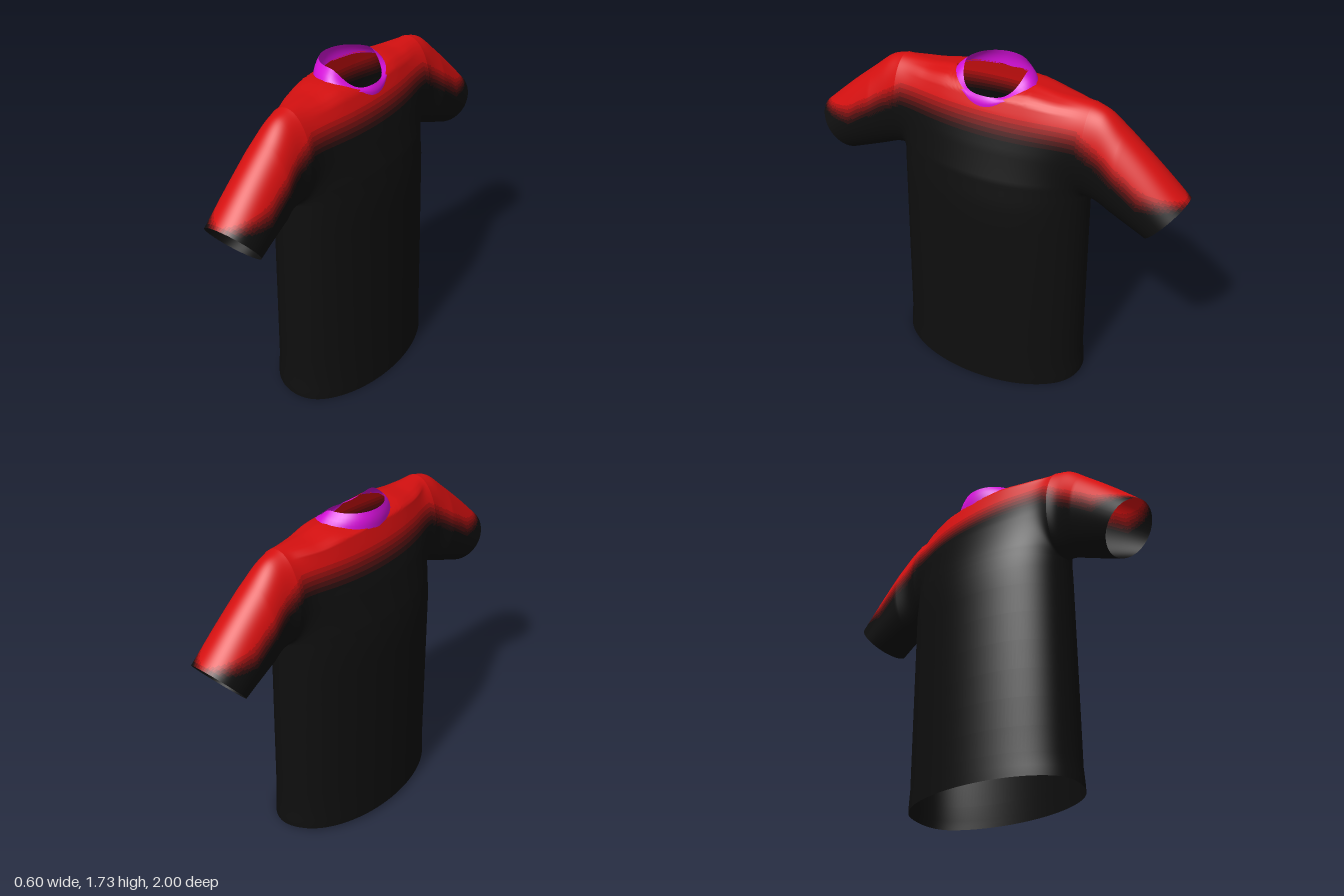
import * as THREE from 'three';
import { mergeVertices } from 'three/addons/utils/BufferGeometryUtils.js';

const { lerp, clamp, smoothstep } = THREE.MathUtils;

// Piecewise-linear lookup in a list of [position, value] pairs
function lookup(table, p) {
  for (let k = 1; k < table.length; k++) {
    const [a, va] = table[k - 1], [b, vb] = table[k];
    if (p <= b) return lerp(va, vb, clamp((p - a) / (b - a), 0, 1));
  }
  return table[table.length - 1][1];
}

const ARMPIT = 1.17, SHOULDER = 1.67, BAND_LOW = 1.455, BAND_HIGH = 1.565;
const NECK_Z = 0.2, NECK_FRONT = 0.145, NECK_BACK = 0.16;

// Half depths of the chest (+x) and the back (-x) by height, and half width
const chest = [[0, 0.30], [0.6, 0.285], [1.1, 0.27], [1.25, 0.248], [1.4, 0.205], [1.5, 0.172], [1.57, 0.148], [1.62, 0.128], [1.65, 0.09], [1.67, 0]];
const back = [[0, 0.30], [1.1, 0.298], [1.22, 0.28], [1.4, 0.235], [1.5, 0.195], [1.58, 0.175], [1.64, 0.158], [1.66, 0.1], [1.67, 0]];
const width = [[0, 0.526], [0.04, 0.524], [0.12, 0.515], [1.1, 0.505], [2, 0.505]];
const ridge = z => SHOULDER + 0.015 * (1 - smoothstep(Math.abs(z), 0.2, 0.36));

// Depth of the cloth from the middle plane; it meets the sleeve at the armhole
function depth(z, y, side) {
  const yy = y - (ridge(z) - SHOULDER) * smoothstep(y, 1.5, 1.67);
  const w = lookup(width, y);
  const e = lookup(side > 0 ? chest : back, yy) * Math.sqrt(Math.max(0, 1 - (z / w) ** 2));
  const s = 0.135 * Math.sqrt(Math.max(0, 1 - ((yy - 1.42) / 0.25) ** 2));
  return (e ** 6 + s ** 6) ** (1 / 6);
}

// Top of the cloth: the shoulder ridge, or the edge of the neck hole
function topY(z, side) {
  if (Math.abs(z) >= NECK_Z) return ridge(z);
  const hole = (side > 0 ? NECK_FRONT : NECK_BACK) * Math.sqrt(1 - (z / NECK_Z) ** 2);
  let lo = 1.5, hi = ridge(z);
  for (let k = 0; k < 30; k++) {
    const mid = (lo + hi) / 2;
    if (depth(z, mid, side) > hole) lo = mid; else hi = mid;
  }
  return lo;
}

// Rows shared by torso and sleeves; the last ones reach up to a given top
const lowerRows = [0, 0.02, 0.05, 0.12, 0.25, 0.4, 0.55, 0.7, 0.85, 1.0, 1.1];
const upperRows = [];
for (let k = 0; k <= 24; k++) upperRows.push(() => ARMPIT + (BAND_LOW - ARMPIT) * (1 - Math.cos(k * Math.PI / 48)));
for (let k = 1; k <= 10; k++) upperRows.push(() => lerp(BAND_LOW, BAND_HIGH, k / 10));
for (let k = 1; k <= 14; k++) upperRows.push(top => lerp(BAND_HIGH, top, Math.sin(k * Math.PI / 28)));
const rows = [...lowerRows.map(y => () => y), ...upperRows];

// Colour fade: index 0 is black, the last is red
const fadeLow = [[0, BAND_LOW], [0.47, BAND_LOW], [0.8, 1.25], [1, 1.275]];
const fadeHigh = [[0, BAND_HIGH], [0.47, BAND_HIGH], [0.8, 1.35], [1, 1.295]];
function shade(y, z) {
  const a = lookup(fadeLow, Math.abs(z)), b = lookup(fadeHigh, Math.abs(z));
  return clamp(Math.floor((y - a) / (b - a) * 5) + 1, 0, 6);
}

function torsoPoint(i, j, n, side) {
  const a = (i / n - 0.5) * Math.PI;
  const y = rows[j](topY(0.505 * Math.sin(a), side));
  const z = lookup(width, y) * Math.sin(a);
  const x = side * depth(z, y, side);
  const hem = 0.025 * (1 - smoothstep(x, -0.1, 0.15)) * clamp(1 - y / 0.6, 0, 1);
  return new THREE.Vector3(x, y + hem, z);
}

const path = pts => new THREE.CatmullRomCurve3(pts.map(([z, y]) => new THREE.Vector3(0, y, z)));
const sleeveTop = path([[0.505, SHOULDER], [0.58, 1.645], [0.68, 1.565], [0.84, 1.43], [1.0, 1.285]]);
const sleeveUnder = path([[0.505, ARMPIT], [0.56, 1.158], [0.64, 1.125], [0.73, 1.088], [0.815, 1.055]]);

function sleevePoint(i, j, n, side, mirror) {
  const t = i / n, h = (upperRows[j](SHOULDER) - ARMPIT) / (SHOULDER - ARMPIT);
  const p = sleeveUnder.getPoint(t).lerp(sleeveTop.getPoint(t), h);
  const thick = 0.135 - 0.012 * Math.sin(Math.PI * clamp(t / 0.5, 0, 1)) + 0.005 * t;
  p.x = side * thick * Math.sqrt(Math.max(0, 1 - (2 * h - 1) ** 2));
  p.z *= mirror;
  return p;
}

// Sorts the triangles of a grid of points into one list per shade
function addGrid(bins, n, m, point, flip) {
  const g = [];
  for (let i = 0; i <= n; i++) {
    g.push([]);
    for (let j = 0; j <= m; j++) g[i].push(point(i, j));
  }
  const tri = (a, b, c) => {
    const mid = a.clone().add(b).add(c).divideScalar(3);
    const area = b.clone().sub(a).cross(c.clone().sub(a)).length();
    if (area < 1e-8) return;
    const list = bins[shade(mid.y, mid.z)];
    for (const p of flip ? [a, c, b] : [a, b, c]) list.push(p.x, p.y, p.z);
  };
  for (let i = 0; i < n; i++) for (let j = 0; j < m; j++) {
    tri(g[i][j], g[i][j + 1], g[i + 1][j + 1]);
    tri(g[i][j], g[i + 1][j + 1], g[i + 1][j]);
  }
}

function shirtGeometry() {
  const bins = Array.from({ length: 7 }, () => []);
  for (const side of [1, -1]) {
    addGrid(bins, 72, rows.length - 1, (i, j) => torsoPoint(i, j, 72, side), side < 0);
    for (const mirror of [1, -1])
      addGrid(bins, 44, upperRows.length - 1, (i, j) => sleevePoint(i, j, 44, side, mirror), side * mirror < 0);
  }
  const geo = new THREE.BufferGeometry();
  geo.setAttribute('position', new THREE.Float32BufferAttribute(bins.flat(), 3));
  const welded = mergeVertices(geo, 1e-4);
  let start = 0;
  bins.forEach((list, k) => {
    welded.addGroup(start, list.length / 3, k);
    start += list.length / 3;
  });
  welded.computeVertexNormals();
  return welded;
}

// Collar band: from the neck hole up to a ring that dips at the chest
function collarGeometry() {
  const n = 64, m = 4, pos = [], index = [];
  for (let i = 0; i < n; i++) {
    const a = i / n * Math.PI * 2, c = Math.cos(a), s = Math.sin(a), side = c >= 0 ? 1 : -1;
    const low = new THREE.Vector3((side > 0 ? NECK_FRONT : NECK_BACK) * c + 0.007 * c, topY(NECK_Z * s, side) - 0.008, (NECK_Z + 0.009) * s);
    const high = new THREE.Vector3((side > 0 ? 0.137 : 0.155) * c, 1.73 - 0.095 * smoothstep(c, -0.1, 0.95), 0.158 * s);
    for (let j = 0; j <= m; j++) {
      const t = j / m, p = low.clone().lerp(high, t), bulge = 0.006 * Math.sin(Math.PI * t);
      pos.push(p.x + bulge * c, p.y, p.z + bulge * s);
      if (j < m) {
        const q = i * (m + 1) + j, r = ((i + 1) % n) * (m + 1) + j;
        index.push(q, q + 1, r + 1, q, r + 1, r);
      }
    }
  }
  const geo = new THREE.BufferGeometry();
  geo.setAttribute('position', new THREE.Float32BufferAttribute(pos, 3));
  geo.setIndex(index);
  geo.computeVertexNormals();
  return geo;
}

export function createModel() {
  const cloth = (name, color) => {
    const mat = new THREE.MeshStandardMaterial({ color, side: THREE.DoubleSide });
    mat.name = name;
    return mat;
  };
  const fade = [
    cloth('black', 0x0e0e0e), cloth('darkest red', 0x2a0e0e), cloth('very dark red', 0x4a0f0f),
    cloth('dark red', 0x6e0f0f), cloth('deep red', 0x921010), cloth('medium red', 0xb41010), cloth('red', 0xd61010),
  ];
  const group = new THREE.Group();
  group.name = 'shirt';
  const body = new THREE.Mesh(shirtGeometry(), fade);
  body.name = 'torsoAndSleeves';
  const collar = new THREE.Mesh(collarGeometry(), cloth('magenta', 0xd410d8));
  collar.name = 'collar';
  group.add(body, collar);
  return group;
}
